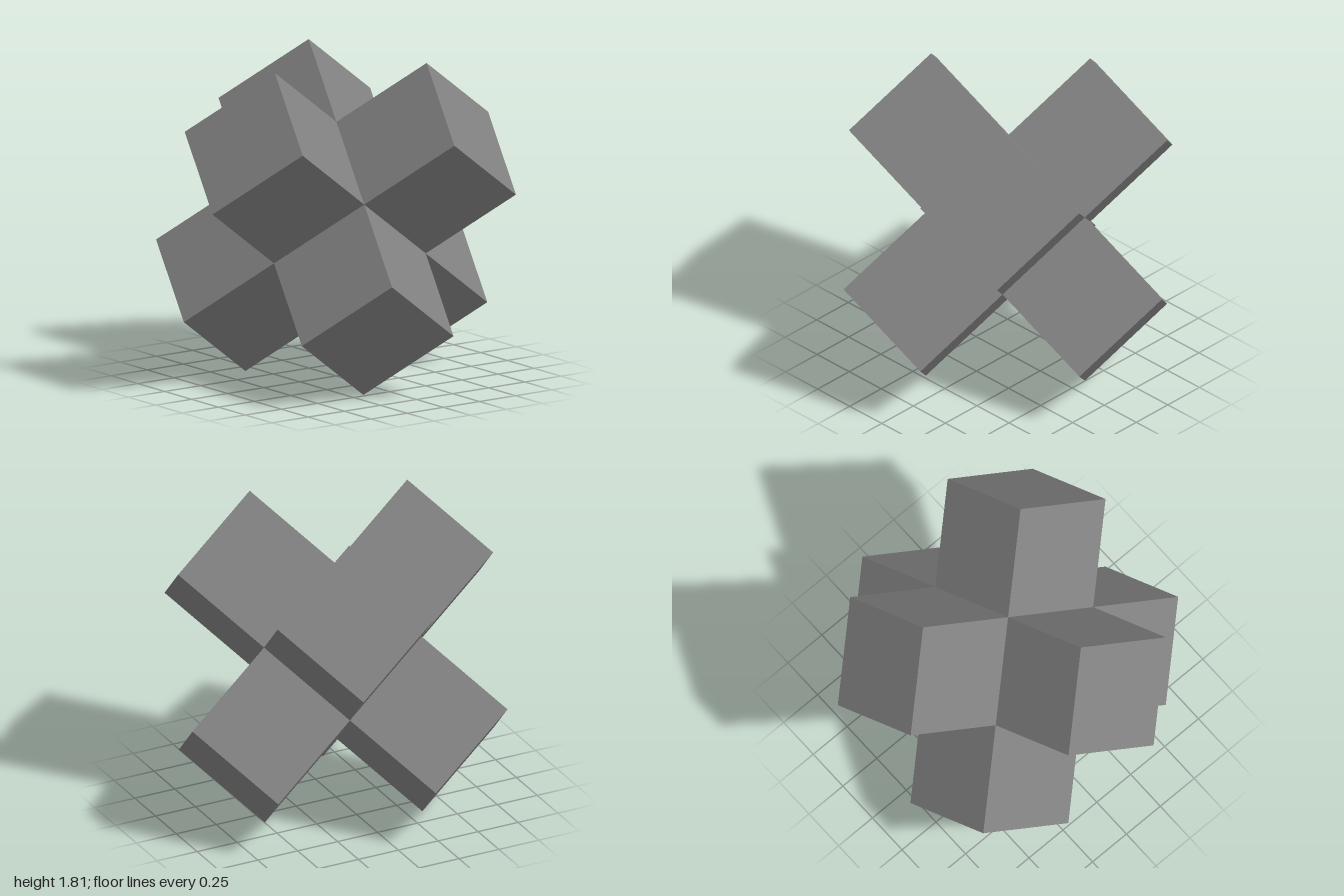
import * as THREE from 'three';

// Six cubes around a hidden core, the whole cross tipped onto three corners.
export function createModel() {
  const model = new THREE.Group();
  model.name = 'cubeCross';

  const grey = new THREE.MeshStandardMaterial({ color: 0x808080 });
  grey.name = 'grey';
  const red = new THREE.MeshStandardMaterial({ color: 0xb06060 });
  red.name = 'dull red';

  const size = 0.626;
  const cube = new THREE.BoxGeometry(size, size, size);

  // Upward arm directions, made exactly perpendicular
  const a = new THREE.Vector3(-0.5, 0.362, 0.1).normalize();
  const b = new THREE.Vector3(0.333, 0.362, 0.387);
  b.addScaledVector(a, -b.dot(a)).normalize();
  const c = new THREE.Vector3().crossVectors(a, b);

  const cross = new THREE.Group();
  cross.name = 'cross';
  cross.quaternion.setFromRotationMatrix(new THREE.Matrix4().makeBasis(a, b, c));
  cross.position.y = 0.907;
  model.add(cross);

  const addCube = (name, material, x, y, z) => {
    const mesh = new THREE.Mesh(cube, material);
    mesh.name = name;
    mesh.position.set(x, y, z).multiplyScalar(size);
    cross.add(mesh);
  };

  // Core and its six arms
  addCube('core', red, 0, 0, 0);
  for (const s of [1, -1]) {
    const end = s > 0 ? 'Upper' : 'Lower';
    addCube('firstArm' + end, grey, s, 0, 0);
    addCube('secondArm' + end, grey, 0, s, 0);
    addCube('thirdArm' + end, grey, 0, 0, s);
  }
  return model;
}
